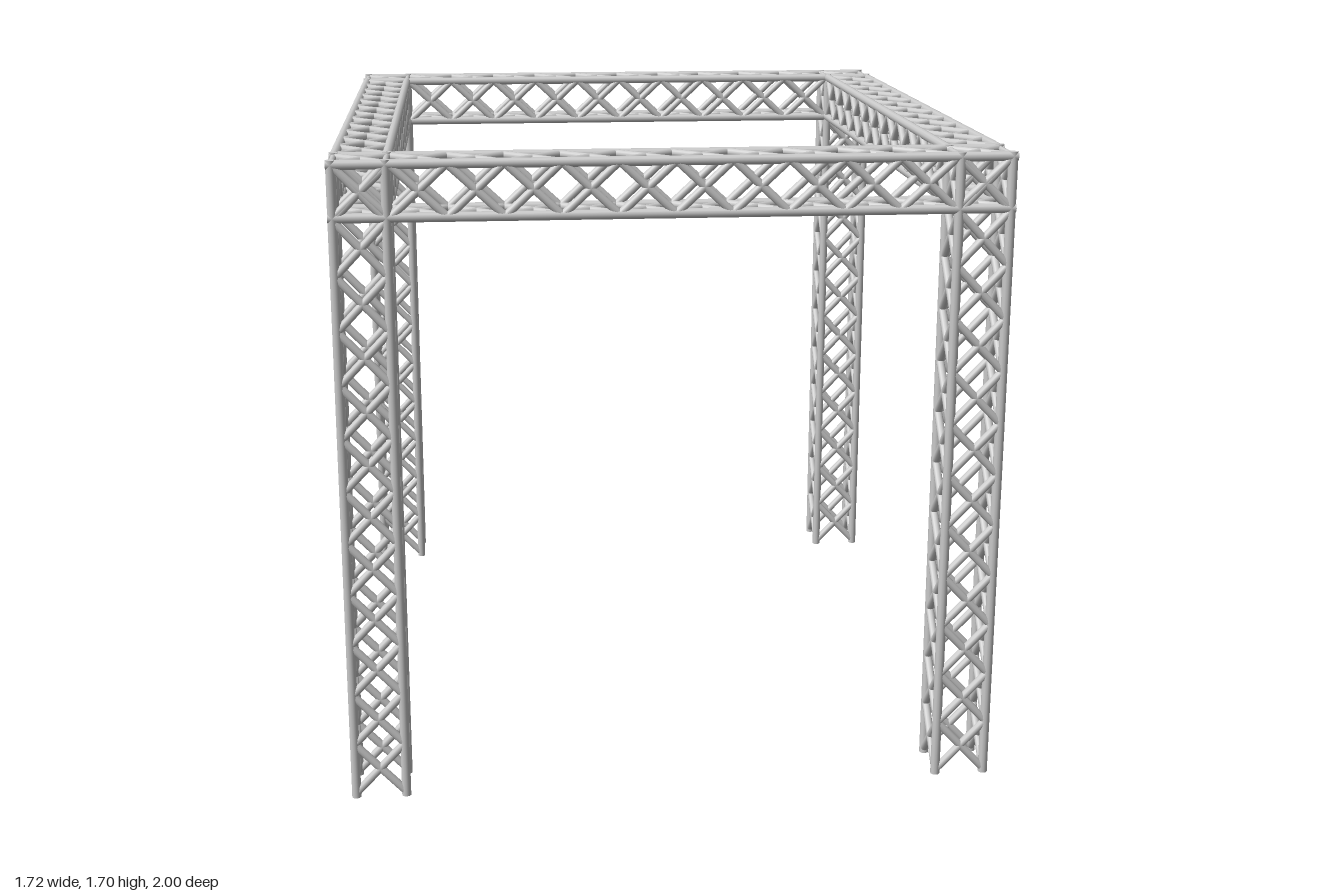
import * as THREE from 'three';
import { mergeGeometries } from 'three/addons/utils/BufferGeometryUtils.js';

const HALF = 0.066;      // chord offset from the truss axis
const CHORD_R = 0.0125;
const BRACE_R = 0.0105;
const TIE_R = 0.008;
const BAYS = 12;
const LEG_HEIGHT = 1.7, CROSS_LENGTH = 1.72, SIDE_LENGTH = 1.7;
const LEG_X = 0.782, LEG_Z = 0.9215, BEAM_Y = 1.6225;

const corners = [[-1, -1], [1, -1], [1, 1], [-1, 1]];
const material = new THREE.MeshStandardMaterial({ color: 0xcccccc, roughness: 0.6, side: THREE.DoubleSide });

// Straight round bar between two points
function bar(a, b, radius) {
  const dir = b.clone().sub(a);
  const geo = new THREE.CylinderGeometry(radius, radius, dir.length(), 10);
  geo.applyQuaternion(new THREE.Quaternion().setFromUnitVectors(new THREE.Vector3(0, 1, 0), dir.normalize()));
  return geo.translate((a.x + b.x) / 2, (a.y + b.y) / 2, (a.z + b.z) / 2);
}

function barMesh(name, bars) {
  const mesh = new THREE.Mesh(mergeGeometries(bars), material);
  mesh.name = name;
  return mesh;
}

// Box truss along y, centred on its origin: four chords, crossed braces in every bay of every face
function createTruss(name, length) {
  const point = (k, y) => new THREE.Vector3(corners[k % 4][0] * HALF, y, corners[k % 4][1] * HALF);
  const chords = [], braces = [];
  const start = -length / 2 + BRACE_R;
  const bay = (length - 2 * BRACE_R) / BAYS;
  for (let k = 0; k < 4; k++) {
    chords.push(bar(point(k, -length / 2), point(k, length / 2), CHORD_R));
    for (let i = 0; i < BAYS; i++) {
      const y0 = start + i * bay, y1 = y0 + bay;
      braces.push(bar(point(k, y0), point(k + 1, y1), BRACE_R));
      braces.push(bar(point(k + 1, y0), point(k, y1), BRACE_R));
    }
  }
  const truss = new THREE.Group();
  truss.name = name;
  truss.add(barMesh('chords', chords), barMesh('crossBraces', braces));
  return truss;
}

export function createModel() {
  const model = new THREE.Group();
  model.name = 'trussFrame';

  // Legs
  for (const [sx, sz] of corners) {
    const leg = createTruss((sz > 0 ? 'front' : 'back') + (sx > 0 ? 'Left' : 'Right') + 'Leg', LEG_HEIGHT);
    leg.position.set(sx * LEG_X, LEG_HEIGHT / 2, sz * LEG_Z);
    model.add(leg);
  }

  // Front and back beams span the full width, side beams fit between them
  for (const s of [-1, 1]) {
    const cross = createTruss(s > 0 ? 'frontBeam' : 'backBeam', CROSS_LENGTH);
    cross.rotation.z = Math.PI / 2;
    cross.position.set(0, BEAM_Y, s * LEG_Z);
    const side = createTruss(s > 0 ? 'leftBeam' : 'rightBeam', SIDE_LENGTH);
    side.rotation.x = Math.PI / 2;
    side.position.set(s * LEG_X, BEAM_Y, 0);
    model.add(cross, side);
  }

  // Thin ties closing the corner blocks
  const ties = [];
  for (const [sx, sz] of corners) {
    for (const [dx, dy] of corners) {
      const x = sx * LEG_X + dx * HALF, y = BEAM_Y + dy * HALF;
      ties.push(bar(
        new THREE.Vector3(x, y, sz * SIDE_LENGTH / 2),
        new THREE.Vector3(x, y, sz * (LEG_Z + HALF)), TIE_R));
    }
  }
  model.add(barMesh('cornerTies', ties));

  return model;
}
